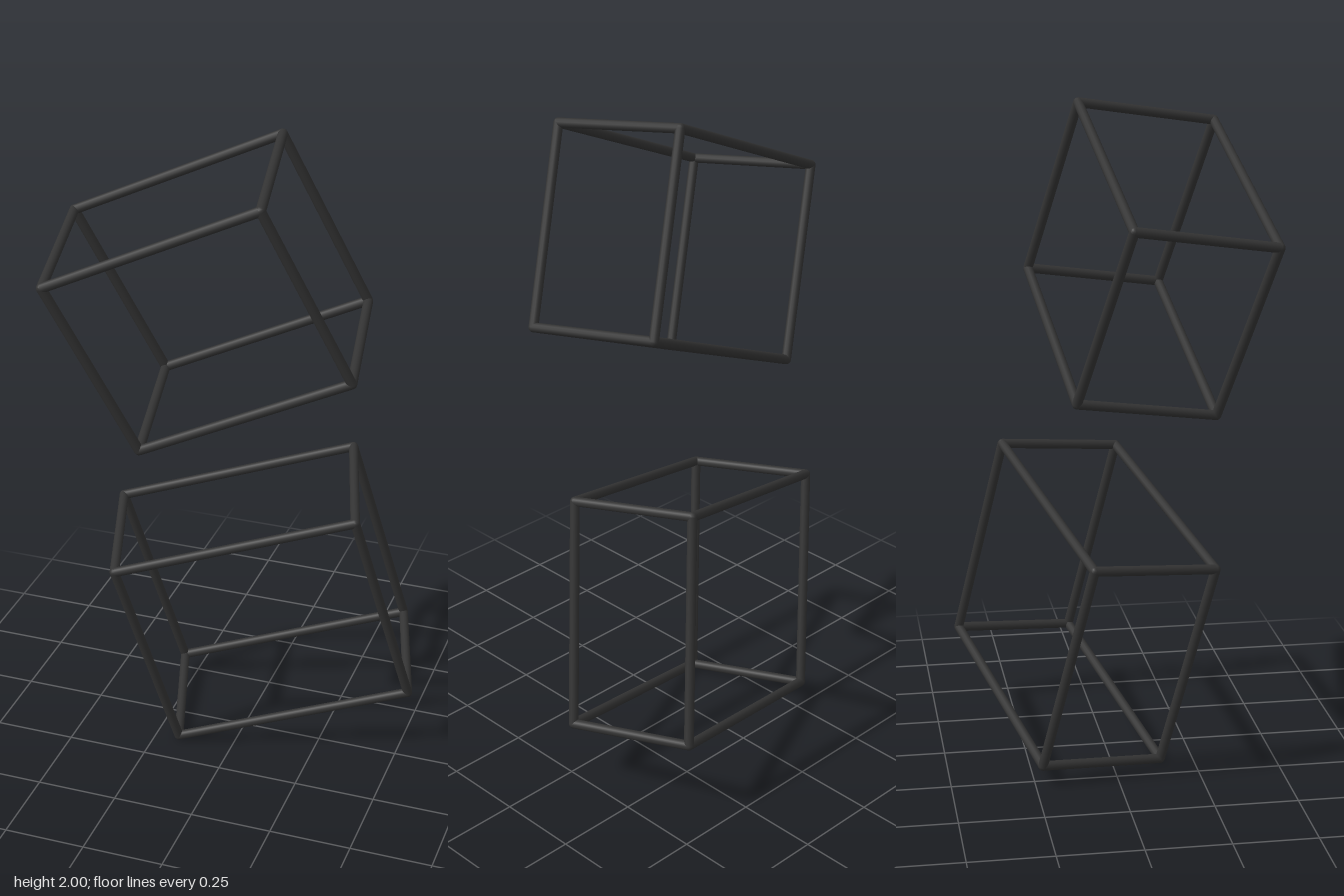
import * as THREE from 'three';

const RADIUS = 0.0145;
const material = new THREE.MeshStandardMaterial({ color: 0x333333 });

// Wireframe box of round bars with ball joints; size = [width, height, depth]
function boxFrame(name, size, centre, right, up) {
  const frame = new THREE.Group();
  frame.name = name;

  // Four parallel bars along each of the three axes
  for (let axis = 0; axis < 3; axis++) {
    const [b, c] = [(axis + 1) % 3, (axis + 2) % 3];
    const bar = new THREE.CylinderGeometry(RADIUS, RADIUS, size[axis], 12, 1, true);
    if (axis === 0) bar.rotateZ(Math.PI / 2);
    if (axis === 2) bar.rotateX(Math.PI / 2);
    for (const sb of [-0.5, 0.5]) {
      for (const sc of [-0.5, 0.5]) {
        const mesh = new THREE.Mesh(bar, material);
        mesh.name = ['widthBar', 'heightBar', 'depthBar'][axis];
        mesh.position.setComponent(b, sb * size[b]);
        mesh.position.setComponent(c, sc * size[c]);
        frame.add(mesh);
      }
    }
  }

  // Corner joints
  const ball = new THREE.SphereGeometry(RADIUS, 12, 8);
  for (let i = 0; i < 8; i++) {
    const joint = new THREE.Mesh(ball, material);
    joint.name = 'cornerJoint';
    joint.position.fromArray(size.map((s, k) => (i >> k & 1 ? s : -s) / 2));
    frame.add(joint);
  }

  // Tilt the frame to its own axes
  const x = new THREE.Vector3(...right).normalize();
  const z = x.clone().cross(new THREE.Vector3(...up)).normalize();
  const y = z.clone().cross(x);
  frame.quaternion.setFromRotationMatrix(new THREE.Matrix4().makeBasis(x, y, z));
  frame.position.set(...centre);
  return frame;
}

export function createModel() {
  const model = new THREE.Group();
  model.name = 'tiltedBoxFrames';
  model.add(
    boxFrame('upperFrame', [0.68, 0.59, 0.432], [-0.066, 1.548, 0.116],
      [0.615, 0.28, -0.065], [-0.225, 0.53, 0.125]),
    boxFrame('lowerFrame', [0.746, 0.682, 0.395], [0.044, 0.467, -0.068],
      [0.695, 0.196, -0.188], [-0.15, 0.651, 0.135]),
  );
  return model;
}
